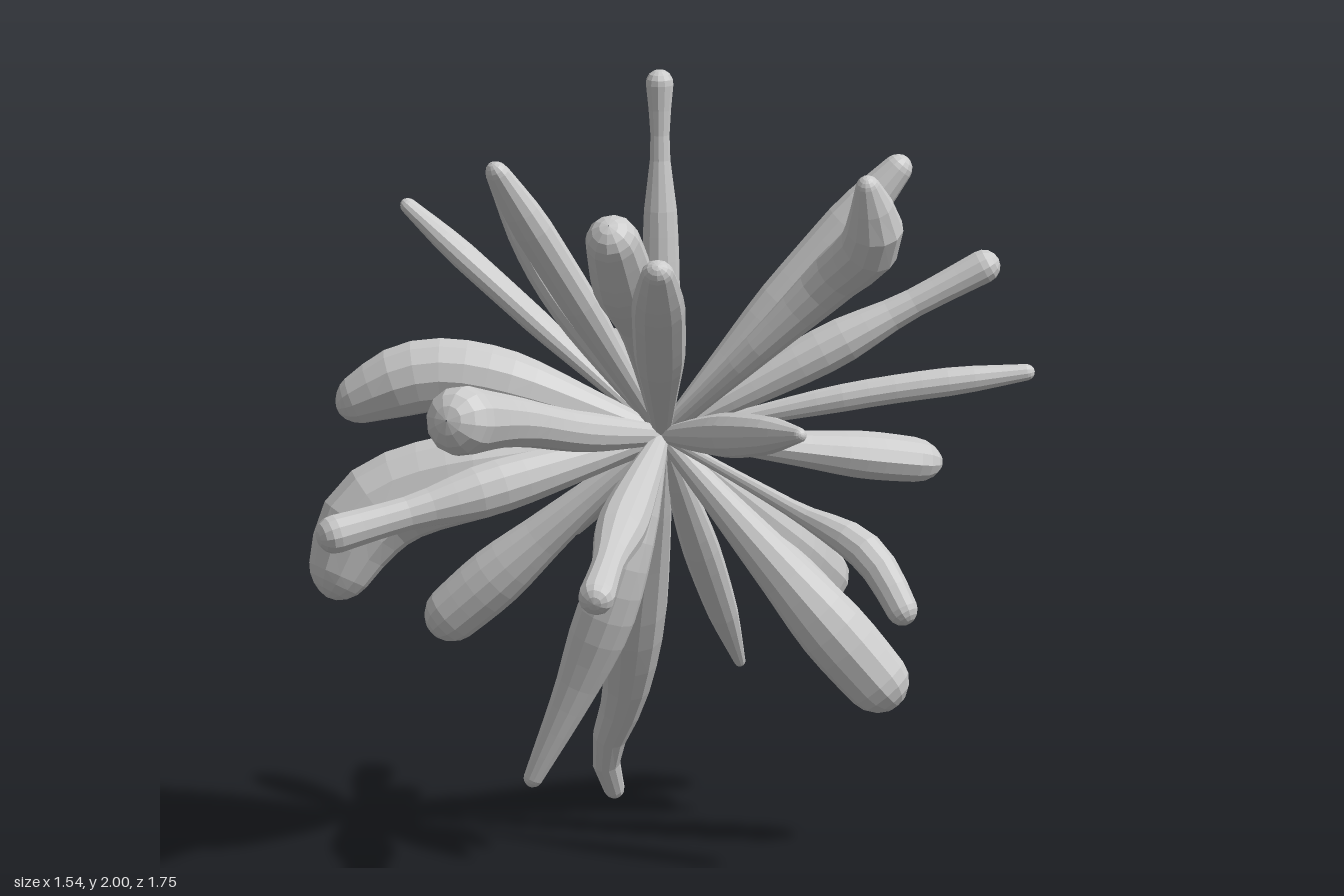
import * as THREE from 'three';

const CORE = new THREE.Vector3(-0.02, 1.06, -0.07);
const SIDES = 12;
const RINGS = 14;
const CAP_RINGS = 4;

// Swelling of each petal type from core to tip, relative to its widest radius
const SHAPES = {
  club: [0.22, 0.48, 0.75, 1, 0.88],
  bulb: [0.25, 0.5, 0.58, 0.75, 1],
  bud: [0.25, 0.32, 0.48, 1, 0.8],
  hook: [0.25, 0.4, 0.6, 0.85, 1, 0.3],
  paddle: [0.3, 0.65, 0.97, 1, 0.53],
  leaf: [0.3, 0.75, 1, 0.85, 0.27],
  knob: [0.3, 0.75, 1, 0.63, 0.75],
  tail: [0.25, 0.75, 1, 0.66, 0.29],
  rod: [0.4, 0.75, 1, 0.9, 0.5, 0.8],
};

// Loft rings along a smooth path, closing the tip with a rounded cap
function petalGeometry(shape, width, points, flat) {
  const curve = new THREE.CatmullRomCurve3([CORE, ...points.map((p) => new THREE.Vector3(...p))]);
  const swell = new THREE.CatmullRomCurve3(SHAPES[shape].map((r) => new THREE.Vector3(r * width, 0, 0)));
  const capStart = 1 - (width * SHAPES[shape].at(-1)) / curve.getLength();

  // position along the path and scale of every ring
  const stations = [];
  for (let i = 0; i <= RINGS; i++) stations.push([(capStart * i) / RINGS, 1]);
  for (let i = 1; i <= CAP_RINGS; i++) {
    const a = (i / CAP_RINGS) * Math.PI / 2;
    stations.push([Math.min(1, capStart + (1 - capStart) * Math.sin(a)), Math.max(0.02, Math.cos(a))]);
  }

  // start with a level side direction and carry it along the path without twist
  const side = new THREE.Vector3().crossVectors(curve.getTangentAt(0), new THREE.Vector3(0, 1, 0));
  if (side.length() < 0.05) side.set(1, 0, 0);
  const normal = new THREE.Vector3();
  const positions = [];
  const index = [];
  stations.forEach(([t, scale], i) => {
    const centre = curve.getPointAt(t);
    const tangent = curve.getTangentAt(t);
    side.addScaledVector(tangent, -side.dot(tangent)).normalize();
    normal.crossVectors(tangent, side).normalize();
    const radius = swell.getPoint(t).x * scale;
    for (let j = 0; j < SIDES; j++) {
      const a = (j / SIDES) * Math.PI * 2;
      const p = centre.clone()
        .addScaledVector(side, Math.cos(a) * radius)
        .addScaledVector(normal, Math.sin(a) * radius * flat);
      positions.push(p.x, p.y, p.z);
      if (i === 0) continue;
      const k = (j + 1) % SIDES;
      const low = (i - 1) * SIDES;
      const high = i * SIDES;
      index.push(low + j, low + k, high + j, low + k, high + k, high + j);
    }
  });

  const geometry = new THREE.BufferGeometry();
  geometry.setAttribute('position', new THREE.Float32BufferAttribute(positions, 3));
  geometry.setIndex(index);
  geometry.computeVertexNormals();
  return geometry;
}

export function createModel() {
  const model = new THREE.Group();
  model.name = 'petalBurst';
  const material = new THREE.MeshStandardMaterial({ color: 0xcccccc, flatShading: true });

  // a petal runs from the core through the given points; the last one is its tip
  function petal(name, shape, width, points, flat = 1) {
    const mesh = new THREE.Mesh(petalGeometry(shape, width, points, flat), material);
    mesh.name = name;
    model.add(mesh);
  }

  // straight petals
  petal('topPetal', 'rod', 0.048, [[-0.02, 2, -0.06]]);
  petal('upperFrontPetal', 'paddle', 0.06, [[-0.2, 1.81, 0.4]], 0.8);
  petal('upperRightPetal', 'paddle', 0.04, [[-0.7, 1.61, 0.12]], 0.85);
  petal('upperBackPetal', 'paddle', 0.062, [[0.46, 1.77, -0.46]]);
  petal('upperLeftPetal', 'paddle', 0.068, [[0.39, 1.63, 0.48]], 0.85);
  petal('upperLeftBud', 'bud', 0.08, [[0.25, 1.72, 0.5]]);
  petal('backLeftKnob', 'knob', 0.06, [[0.61, 1.5, -0.64]]);
  petal('leftLeaf', 'leaf', 0.058, [[0.63, 1.18, 0.19]]);
  petal('backRightStub', 'paddle', 0.06, [[-0.37, 1.24, -0.34]], 0.8);
  petal('backLeftPaddle', 'club', 0.09, [[0.38, 0.94, -0.7]], 0.68);
  petal('lowerRightClub', 'club', 0.077, [[-0.56, 0.53, 0.18]]);
  petal('lowerBackLeaf', 'leaf', 0.047, [[-0.17, 0.37, -0.59]]);
  petal('lowerBackClub', 'club', 0.09, [[-0.1, 0.53, -0.87]]);
  petal('lowerBackBud', 'bud', 0.036, [[0.17, 0.54, -0.59]]);
  petal('lowerLeftClub', 'club', 0.088, [[0.43, 0.36, -0.46]]);
  petal('backRightRod', 'club', 0.04, [[-0.69, 0.67, -0.55]]);

  // gently bent petals
  petal('upperRightLeaf', 'leaf', 0.035, [[-0.28, 1.45, 0.08], [-0.38, 1.73, 0.18]]);
  petal('backLeftPetal', 'paddle', 0.037, [[0.4, 1.17, -0.38], [0.71, 1.22, -0.66]]);
  petal('frontBulb', 'bulb', 0.1, [[-0.06, 1.11, 0.22], [-0.05, 1.18, 0.5], [0.02, 1.25, 0.87]]);
  petal('rightArch', 'paddle', 0.094, [[-0.48, 1.21, 0.25], [-0.7, 1.12, 0.39]]);
  petal('frontRightKnob', 'knob', 0.07, [[-0.3, 0.94, 0.35], [-0.53, 0.85, 0.69]]);
  petal('frontLeftKnob', 'knob', 0.065, [[0.15, 0.9, 0.32], [0.35, 0.79, 0.69]]);
  petal('lowerFrontTail', 'tail', 0.076, [[-0.05, 0.76, 0.04], [-0.16, 0.45, 0.08], [-0.28, 0.16, 0.14]]);

  // strongly curled petals
  petal('leftCurl', 'hook', 0.077, [[0.2, 1.27, -0.13], [0.42, 1.5, -0.22], [0.55, 1.61, -0.2], [0.6, 1.79, -0.11]]);
  petal('rightCurl', 'paddle', 0.118, [[-0.3, 0.98, 0.1], [-0.62, 0.86, 0.32], [-0.7, 0.64, 0.43]]);
  petal('leftDroop', 'bud', 0.048, [[0.4, 0.92, -0.07], [0.63, 0.83, -0.08], [0.76, 0.67, -0.08]]);
  petal('lowerBackTail', 'tail', 0.083, [[-0.26, 0.62, -0.28], [-0.4, 0.3, -0.41], [-0.5, 0.12, -0.46], [-0.52, 0, -0.53]]);

  // small core where the petals meet
  const core = new THREE.Mesh(new THREE.IcosahedronGeometry(0.03, 1), material);
  core.name = 'core';
  core.position.copy(CORE);
  model.add(core);
  return model;
}
